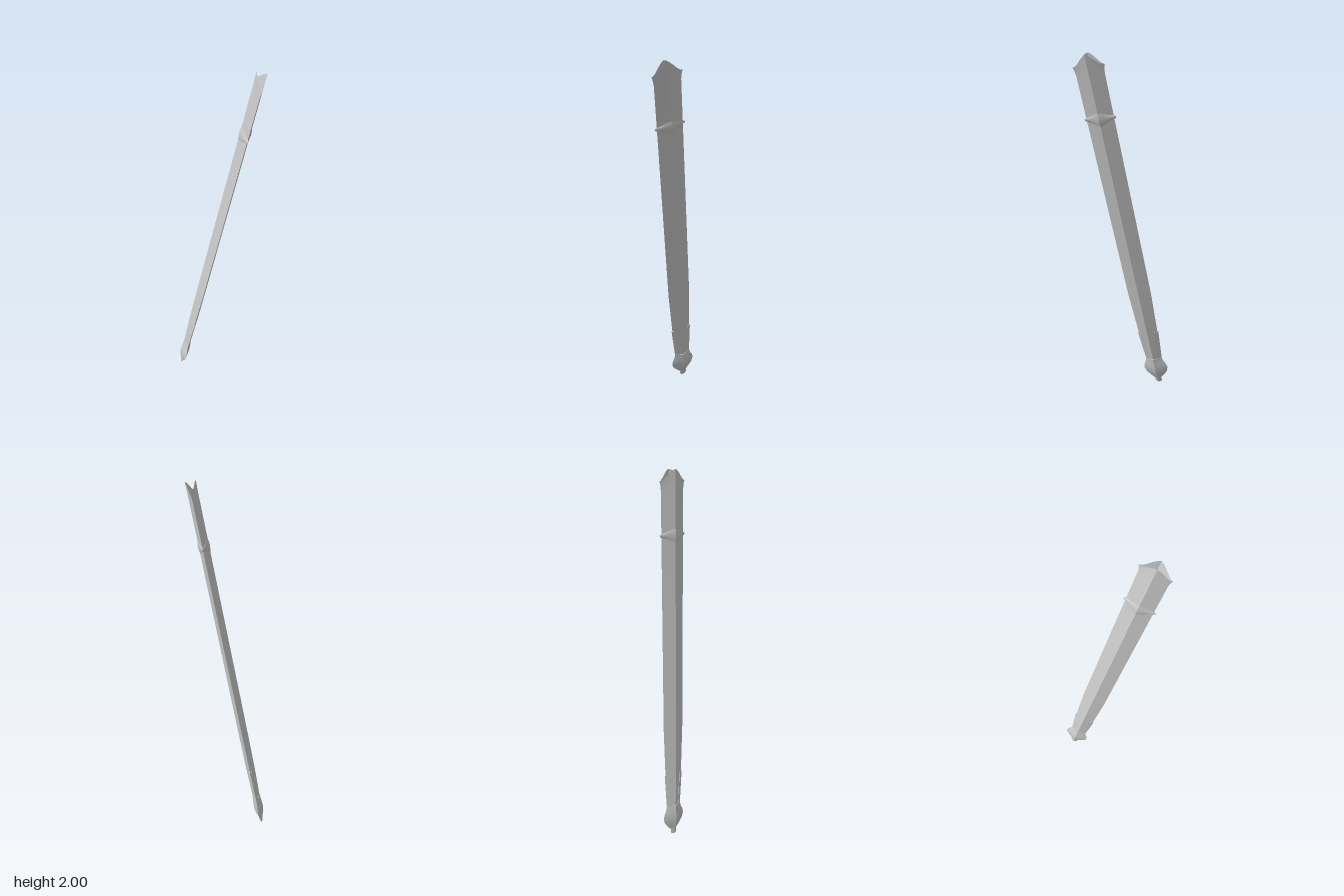
import * as THREE from 'three';
import { toCreasedNormals } from 'three/addons/utils/BufferGeometryUtils.js';

const Q = 6; // points per quarter of the diamond section
const AXIS = new THREE.Vector3(0.194, 1, 0.155);
const LENGTH = AXIS.length();

// Skin a stack of closed rings, each an array of [x, y, z]
function loft(name, rings) {
  const n = rings[0].length, index = [];
  for (let i = 0; i < rings.length - 1; i++) {
    for (let j = 0; j < n; j++) {
      const a = i * n + j, b = i * n + (j + 1) % n;
      index.push(a, a + n, b, b, a + n, b + n);
    }
  }
  const geo = new THREE.BufferGeometry();
  geo.setAttribute('position', new THREE.Float32BufferAttribute(rings.flat(2), 3));
  geo.setIndex(index);
  const mat = new THREE.MeshStandardMaterial({ color: 0xcccccc, side: THREE.DoubleSide });
  const mesh = new THREE.Mesh(toCreasedNormals(geo, 0.5), mat);
  mesh.name = name;
  return mesh;
}

// Diamond ring; rise(k) lifts it, k = 0 at the side edges and 1 on the face ridges
function diamond(y, hx, hz, rise = () => 0) {
  const ring = [];
  for (let j = 0; j < 4 * Q; j++) {
    const t = (j % Q) / Q;
    const [x, z] = [[1 - t, t], [-t, 1 - t], [t - 1, -t], [t, t - 1]][Math.floor(j / Q)];
    ring.push([x * hx, y * LENGTH + rise(Math.abs(x)), z * hz]);
  }
  return ring;
}

const smooth = (k) => k * k * (3 - 2 * k);

export function createModel() {
  const group = new THREE.Group();
  group.name = 'scabbard';

  // Long hollow body ending in a flared mouth with a peak on each face
  const mouth = (k) => 0.056 * smooth(k);
  group.add(loft('body', [
    diamond(0.12, 0.018, 0.036),
    diamond(0.2, 0.021, 0.046),
    diamond(0.38, 0.025, 0.057),
    diamond(0.65, 0.026, 0.067),
    diamond(1.68, 0.026, 0.071),
    diamond(1.9, 0.026, 0.072),
    diamond(1.925, 0.026, 0.075, (k) => 0.4 * mouth(k)),
    diamond(1.942, 0.027, 0.081, mouth),
  ]));

  // Band below the mouth, taller over the ridges and pointed at the sides
  const band = (s) => (k) => s * (0.01 + 0.024 * smooth(k));
  group.add(loft('band', [
    diamond(1.684, 0.0262, 0.0715, band(-1)),
    diamond(1.684, 0.029, 0.079, band(-0.6)),
    diamond(1.684, 0.031, 0.083, band(0)),
    diamond(1.684, 0.029, 0.079, band(0.6)),
    diamond(1.684, 0.0262, 0.0715, band(1)),
  ]));

  // Leaf-shaped tip fitting with a small foot
  const tipRows = [
    [0.002, 0.0005, 0.0005], [0.002, 0.007, 0.015], [0.014, 0.01, 0.021],
    [0.03, 0.011, 0.019], [0.05, 0.017, 0.038], [0.08, 0.025, 0.063],
    [0.11, 0.027, 0.072], [0.135, 0.026, 0.067], [0.16, 0.024, 0.055],
    [0.185, 0.0235, 0.049], [0.185, 0.018, 0.038],
  ];
  group.add(loft('tipFitting', tipRows.map((r) => diamond(...r))));

  // Straps running up both side edges from the tip fitting
  for (const s of [1, -1]) {
    const strap = (y, edge, w) => [
      [s * 0.012 * w, y * LENGTH, s * (edge - 0.02 * w)],
      [0, y * LENGTH, s * (edge + 0.005 * w)],
      [-s * 0.012 * w, y * LENGTH, s * (edge - 0.02 * w)],
    ];
    group.add(loft(s > 0 ? 'frontStrap' : 'backStrap', [
      strap(0.15, 0.042, 0.8), strap(0.2, 0.046, 0.8), strap(0.3, 0.0525, 0.9),
      strap(0.38, 0.0575, 1), strap(0.38, 0.0565, 0.01),
    ]));
  }

  // Lean the whole piece along its axis
  group.quaternion.setFromUnitVectors(new THREE.Vector3(0, 1, 0), AXIS.clone().normalize());
  group.position.set(-0.202, 0, -0.165);
  const model = new THREE.Group();
  model.add(group);
  return model;
}
